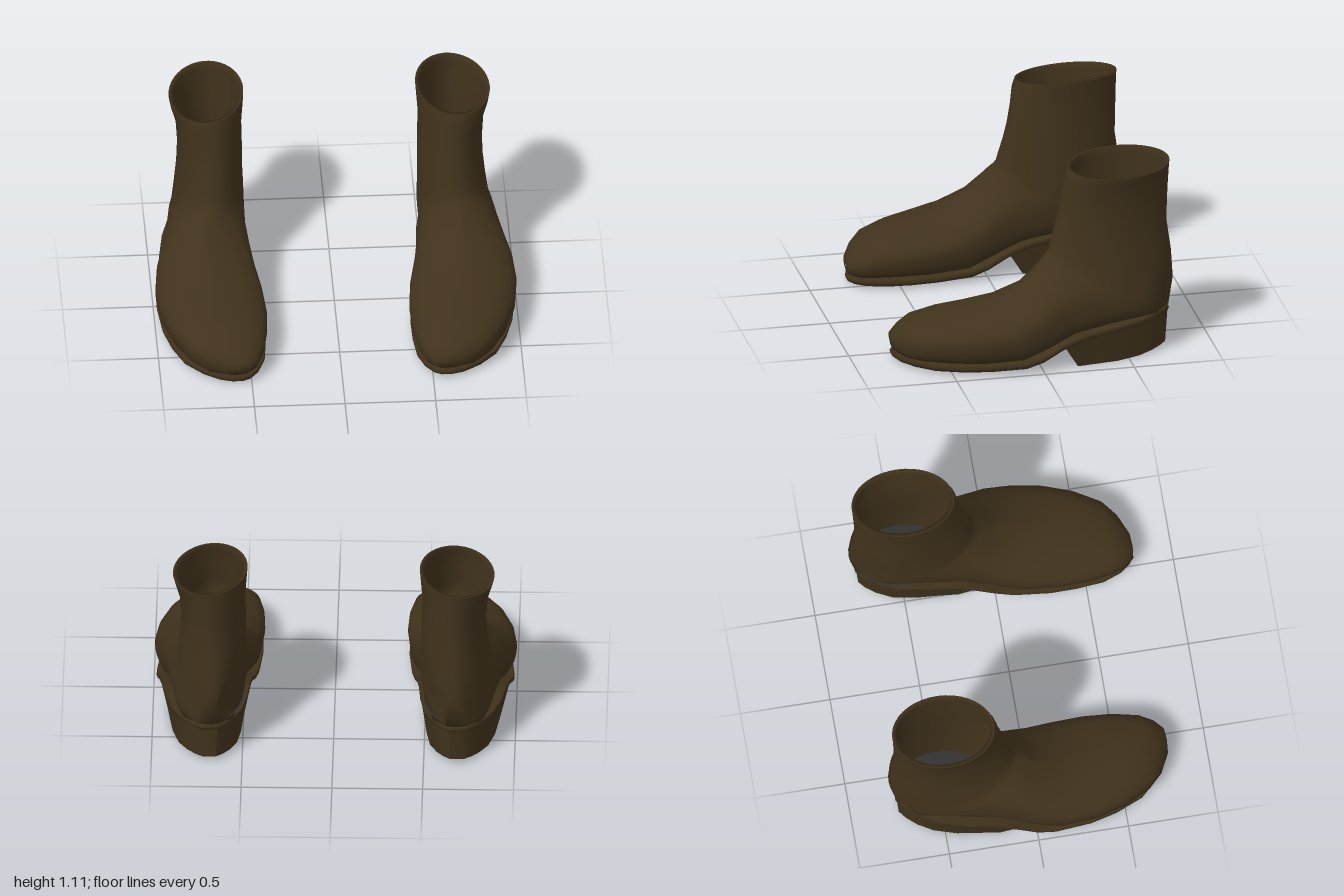
import * as THREE from 'three';
import { toCreasedNormals } from 'three/addons/utils/BufferGeometryUtils.js';

const mat = (name, color) => Object.assign(new THREE.MeshStandardMaterial({ color }), { name });

// Foot outline: z, inner x, outer x (toe to heel)
const OUTLINE = [
  [0.78, 0.545, 0.6], [0.76, 0.505, 0.67], [0.7, 0.458, 0.765], [0.6, 0.42, 0.86],
  [0.45, 0.405, 0.925], [0.3, 0.402, 0.965], [0.1, 0.42, 0.985], [0, 0.435, 0.985],
  [-0.12, 0.452, 0.968], [-0.25, 0.465, 0.95], [-0.4, 0.475, 0.928], [-0.55, 0.5, 0.885],
  [-0.65, 0.545, 0.83], [-0.715, 0.59, 0.775], [-0.755, 0.635, 0.725],
];
// Height of the sole's upper face: z, y
const SOLE_TOP = [
  [0.78, 0.045], [0.4, 0.05], [0.1, 0.063], [0, 0.093], [-0.12, 0.152],
  [-0.2, 0.18], [-0.3, 0.203], [-0.5, 0.218], [-0.77, 0.243],
];
// Upper sections: back/bottom z, y; front/top z, y; centre x, half width, bottom and top squareness
const SECTIONS = [
  [0.785, 0.1, 0.785, 0.11, 0.57, 0.005, 1, 1],
  [0.773, 0.06, 0.78, 0.15, 0.58, 0.075, 0.6, 0.9],
  [0.72, 0.045, 0.73, 0.2, 0.61, 0.153, 0.35, 0.85],
  [0.64, 0.045, 0.66, 0.25, 0.635, 0.21, 0.28, 0.85],
  [0.5, 0.045, 0.51, 0.288, 0.662, 0.262, 0.25, 0.9],
  [0.32, 0.045, 0.36, 0.313, 0.685, 0.292, 0.25, 1],
  [0.1, 0.055, 0.21, 0.36, 0.703, 0.294, 0.25, 1.3],
  [-0.05, 0.11, 0.07, 0.44, 0.711, 0.268, 0.25, 1.7],
  [-0.2, 0.172, 0.01, 0.5, 0.703, 0.24, 0.25, 1.5],
  [-0.45, 0.205, -0.04, 0.55, 0.694, 0.216, 0.3, 1.25],
  [-0.68, 0.225, -0.07, 0.58, 0.682, 0.206, 0.4, 1.1],
  [-0.755, 0.25, -0.09, 0.605, 0.674, 0.198, 0.6, 1],
  [-0.785, 0.4, -0.1, 0.65, 0.668, 0.19, 0.85, 1],
  [-0.777, 0.56, -0.125, 0.735, 0.664, 0.181, 0.95, 1],
  [-0.752, 0.74, -0.148, 0.83, 0.662, 0.178, 1, 1],
  [-0.757, 0.93, -0.168, 0.94, 0.668, 0.181, 1, 1],
  [-0.762, 1.06, -0.18, 1.03, 0.678, 0.2, 1, 1],
  [-0.765, 1.103, -0.195, 1.078, 0.68, 0.206, 1, 1],
];
const N = 40;

// Linear lookup in a table sorted by falling first column
function lookup(table, z, col) {
  if (z >= table[0][0]) return table[0][col];
  for (let i = 1; i < table.length; i++) {
    const [a, b] = [table[i - 1], table[i]];
    if (z >= b[0]) return THREE.MathUtils.mapLinear(z, a[0], b[0], a[col], b[col]);
  }
  return table[table.length - 1][col];
}

// Skin over rows of [x, y, z] points; side = -1 mirrors across x
function loft(rows, closed, side, crease) {
  const n = rows[0].length, pos = [], idx = [];
  rows.forEach(r => r.forEach(([x, y, z]) => pos.push(x * side, y, z)));
  for (let i = 0; i < rows.length - 1; i++) {
    for (let j = 0; j < (closed ? n : n - 1); j++) {
      const k = (j + 1) % n, a = i * n + j, b = i * n + k, d = a + n, e = b + n;
      if (side > 0) idx.push(a, d, b, b, d, e);
      else idx.push(a, b, d, b, e, d);
    }
  }
  const g = new THREE.BufferGeometry();
  g.setAttribute('position', new THREE.Float32BufferAttribute(pos, 3));
  g.setIndex(idx);
  g.computeVertexNormals();
  return crease ? toCreasedNormals(g, crease) : g;
}

// One rounded section of the upper
function section([az, ay, bz, by, cx, hw, eb, et], inset = 0, roll = 0, fitHeel = false) {
  const ring = [], len = Math.hypot(bz - az, by - ay);
  for (let j = 0; j < N; j++) {
    const t = (j / N) * Math.PI * 2, c = -Math.cos(t), l = Math.sin(t);
    const lat = Math.sign(l) * Math.abs(l) ** (c < 0 ? eb : et);
    const s = 0.5 + c * (0.5 - inset / len);
    const z = az + (bz - az) * s;
    let x = cx + (hw - inset) * lat;
    if (fitHeel && z < -0.1) x = THREE.MathUtils.clamp(x, lookup(OUTLINE, z, 1), lookup(OUTLINE, z, 2));
    ring.push([x, ay + (by - ay) * s - roll * lat, z]);
  }
  return ring;
}

// Closed loop along the inner edge to the heel and back along the outer edge
const loop = (stations, place) => [
  ...stations.map(([z, x]) => place(x, z)),
  ...[...stations].reverse().map(([z, , x]) => place(x, z)),
];
const face = (stations, place, up) => stations.map(([z, a, b]) =>
  (up ? [b, (a + b) / 2, a] : [a, (a + b) / 2, b]).map(x => place(x, z)));

function createBoot(side, m) {
  const boot = new THREE.Group();
  boot.name = side > 0 ? 'leftBoot' : 'rightBoot';
  const add = (name, geometry, material) => {
    const mesh = new THREE.Mesh(geometry, material);
    mesh.name = name;
    boot.add(mesh);
  };
  const last = SECTIONS.length - 1;
  const rollOf = i => [0.02, 0.01][last - i] ?? 0;

  // Upper: toe, instep, heel and shaft in one skin
  add('upper', loft(SECTIONS.map((s, i) => section(s, 0, rollOf(i), i < 13)), true, side), m.leather);

  // Rim and lining, going down inside the shaft
  const floor = [-0.742, 0.27, -0.24, 0.27, 0.672, 0.178, 1, 1];
  const inner = [section(SECTIONS[last], 0, 0.02), section(SECTIONS[last], 0.022, 0.02)];
  for (let i = last - 1; i >= 13; i--) inner.push(section(SECTIONS[i], 0.01, rollOf(i)));
  inner.push(section(floor));
  add('lining', loft(inner, true, side), m.leather);
  add('insole', loft([section(floor), section([-0.461, 0.27, -0.459, 0.27, 0.672, 0.001, 1, 1])], true, side), m.insole);

  // Sole: edge band, upper ledge and underside
  const top = z => lookup(SOLE_TOP, z, 1);
  const at = (k, drop) => (x, z) => [0.69 + (x - 0.69) * k, top(z) - drop, z * (0.6 + 0.4 * k)];
  const under = at(0.94, 0.036);
  add('soleEdge', loft([
    loop(OUTLINE, under), loop(OUTLINE, at(0.985, 0.026)),
    loop(OUTLINE, at(1, 0.012)), loop(OUTLINE, at(0.985, 0)),
  ], true, side, 1.1), m.leather);
  add('soleLedge', loft(face(OUTLINE, at(0.985, 0), true), false, side), m.leather);
  add('outsole', loft(face(OUTLINE, under, false), false, side), m.sole);

  // Heel block with slanted breast, tapering to the heel cap
  const heel = OUTLINE.filter(s => s[0] <= -0.12);
  const heelTop = (x, z) => [0.692 + (x - 0.692) * 0.975, top(z) - 0.02, z * 0.99];
  const heelLow = (x, z) => {
    const zb = -0.2 + (z + 0.12) * 0.843;
    return [0.69 + (x - 0.69) * 0.83, Math.max(0, (-0.5 - zb) * 0.12), zb];
  };
  add('heel', loft([loop(heel, heelLow), loop(heel, heelTop)], true, side, 0.7), m.leather);
  add('heelCap', loft(face(heel, heelLow, false), false, side), m.cap);
  return boot;
}

export function createModel() {
  const materials = {
    leather: mat('brown leather', 0x40321c),
    insole: mat('grey insole', 0x323232),
    sole: mat('red brown sole', 0xac755b),
    cap: mat('black heel rubber', 0x2c2c2c),
  };
  const model = new THREE.Group();
  model.name = 'ankleBoots';
  model.add(createBoot(1, materials), createBoot(-1, materials));
  return model;
}
